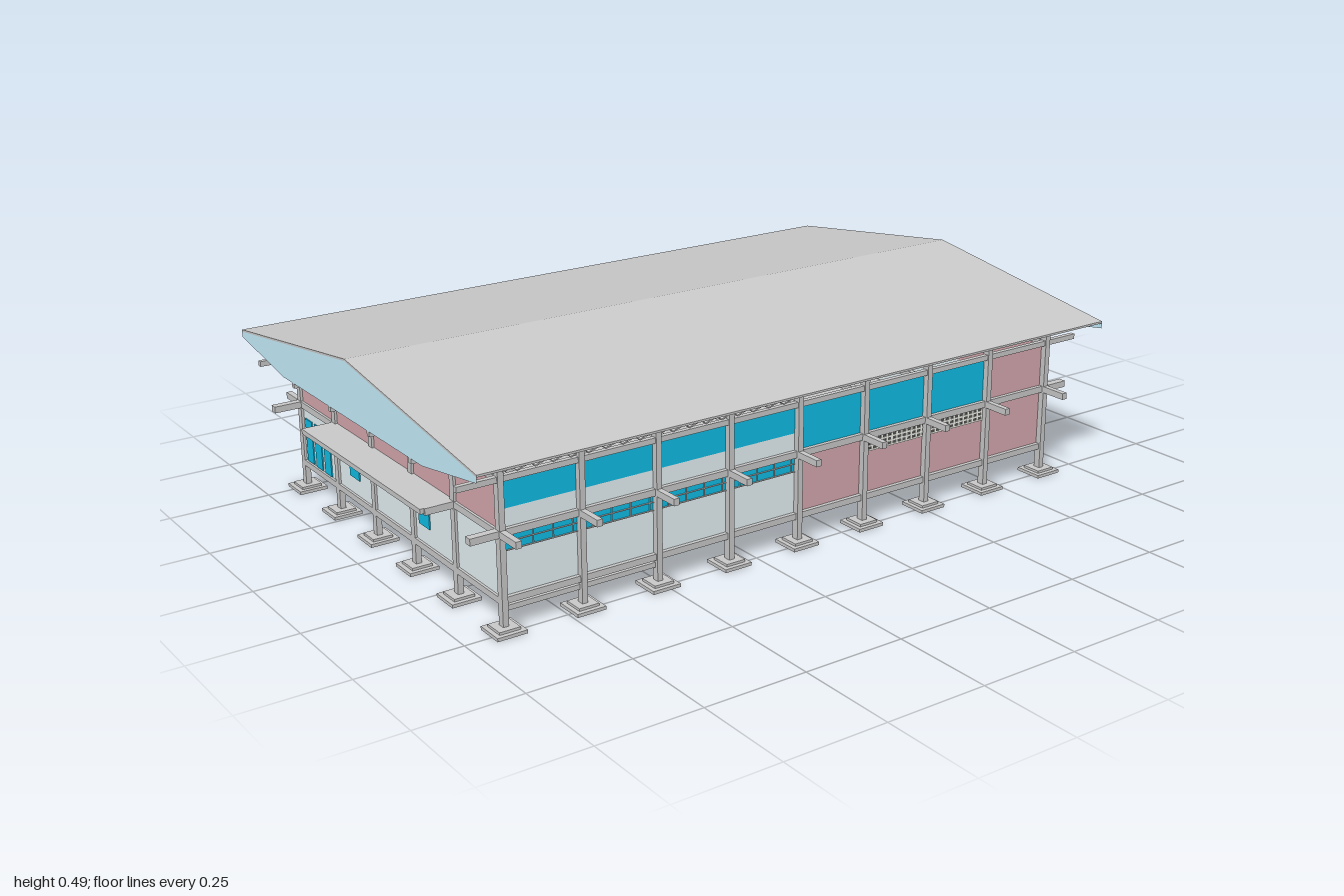
import * as THREE from 'three';

const material = (color, side = THREE.FrontSide) =>
  new THREE.MeshStandardMaterial({ color, side, flatShading: true });
const grey = material(0xcccccc);
const pale = material(0xe8f4f7);
const pink = material(0xd7aab0);
const blue = material(0x10bfe8);
const tan = material(0xdab59f);
const cream = material(0xf8f8f0);

export function createModel() {
  const model = new THREE.Group();

  // Box given by its limits on each axis
  const box = (name, mat, x0, x1, y0, y1, z0, z1, parent = model) => {
    const mesh = new THREE.Mesh(new THREE.BoxGeometry(x1 - x0, y1 - y0, z1 - z0), mat);
    mesh.position.set((x0 + x1) / 2, (y0 + y1) / 2, (z0 + z1) / 2);
    mesh.name = name;
    parent.add(mesh);
    return mesh;
  };
  const group = (name) => {
    const g = new THREE.Group();
    g.name = name;
    model.add(g);
    return g;
  };

  const xs = Array.from({ length: 9 }, (_, i) => -0.9 + i * 0.1938);
  const zs = Array.from({ length: 6 }, (_, i) => 0.49 - i * 0.196);

  // Columns on pad footings
  const frame = group('columnsAndFootings');
  const footing = (x, z, r = 0.036) => {
    box('footing', grey, x - r, x + r, 0, 0.008, z - r, z + r, frame);
    box('footingTop', grey, x - r * 0.7, x + r * 0.7, 0.008, 0.014, z - r * 0.7, z + r * 0.7, frame);
  };
  const column = (x, z, top) => {
    footing(x, z);
    box('column', grey, x - 0.007, x + 0.007, 0.01, top, z - 0.009, z + 0.009, frame);
  };
  xs.forEach((x, i) => zs.forEach((z, j) => {
    const edgeZ = j === 0 || j === 5;
    if (edgeZ || i === 0 || i === 8) column(x, z, edgeZ ? 0.366 : 0.35);
    else if (j === 4) {
      footing(x, z);
      box('stub', grey, x - 0.007, x + 0.007, 0.01, 0.07, z - 0.009, z + 0.009, frame);
    }
  }));

  // Floor slab and beams
  const beams = group('beams');
  box('floorSlab', grey, -0.9, 0.65, 0.063, 0.076, -0.49, 0.49);
  box('gradeBeam', grey, -0.9, -0.515, 0.045, 0.057, 0.48, 0.49, beams);
  box('gradeBeam', grey, -0.9, -0.13, 0.045, 0.063, -0.298, -0.286, beams);
  for (const x of [xs[1], xs[3]])
    box('gradeBeam', grey, x - 0.006, x + 0.006, 0.045, 0.063, -0.49, -0.29, beams);
  for (const s of [-1, 1]) {
    box('plinthBeam', grey, -0.9, 0.65, 0.063, 0.078, s * 0.486 - 0.008, s * 0.486 + 0.008, beams);
    box('floorBeam', grey, -0.975, 0.72, 0.215, 0.231, s * 0.486 - 0.008, s * 0.486 + 0.008, beams);
  }
  for (const x of [xs[0], xs[8]]) {
    box('plinthBeam', grey, x - 0.007, x + 0.007, 0.063, 0.078, -0.49, 0.49, beams);
    box('topBeam', grey, x - 0.007, x + 0.007, 0.336, 0.35, -0.49, 0.49, beams);
  }
  for (const x of xs)
    box('cantileverBeam', grey, x - 0.007, x + 0.007, 0.215, 0.231, -0.565, 0.565, beams);
  for (const z of zs) {
    box('eavesBeam', grey, -1, 0.745, 0.337, 0.35, z - 0.006, z + 0.006, beams);
    for (const [a, b] of [[-0.975, -0.9], [0.65, 0.72]])
      box('cantileverBeam', grey, a, b, 0.215, 0.231, z - 0.007, z + 0.007, beams);
  }
  box('leftCanopy', grey, 0.65, 0.735, 0.219, 0.231, -0.1, 0.298);
  box('rightCanopy', grey, -0.985, -0.9, 0.219, 0.231, -0.3, 0.298);

  // Wall bands: [material, x0, x1, y0, y1]
  const frontBands = [
    [pale, -0.9, -0.125, 0.078, 0.178], [blue, -0.9, -0.125, 0.178, 0.215],
    [pale, -0.9, -0.125, 0.231, 0.272], [blue, -0.9, -0.125, 0.272, 0.337],
    [pink, -0.125, 0.65, 0.078, 0.215], [blue, -0.125, 0.455, 0.231, 0.337],
    [pink, 0.455, 0.65, 0.231, 0.337],
  ];
  const backBands = [
    [pale, -0.9, 0.65, 0.078, 0.215], [pale, -0.9, -0.125, 0.231, 0.272],
    [blue, -0.9, -0.125, 0.272, 0.337], [blue, -0.125, 0.455, 0.231, 0.337],
    [pink, 0.455, 0.65, 0.231, 0.337],
  ];
  const walls = group('walls');
  for (const [m, a, b, c, d] of frontBands) box('frontWall', m, a, b, c, d, 0.476, 0.484, walls);
  for (const [m, a, b, c, d] of backBands) box('backWall', m, a, b, c, d, -0.484, -0.476, walls);
  for (const x of [-0.897, 0.647]) {
    box('endWallLower', pale, x - 0.004, x + 0.004, 0.078, 0.219, -0.48, 0.48, walls);
    box('endWallUpper', pink, x - 0.004, x + 0.004, 0.219, 0.337, -0.48, 0.48, walls);
  }
  box('centrePanel', cream, 0.65, 0.653, 0.078, 0.215, -0.09, 0.09, walls);

  // Window bars on the front strip
  const bars = group('windowBars');
  for (const y of [0.178, 0.197])
    box('bar', grey, -0.9, -0.125, y, y + 0.002, 0.484, 0.487, bars);
  for (let x = -0.87; x < -0.13; x += 0.0485)
    box('bar', grey, x, x + 0.002, 0.178, 0.215, 0.484, 0.487, bars);

  // Ventilation lattices
  const lattice = group('lattice');
  for (const z of [0.485, -0.485]) {
    for (let i = 0; i < 4; i++)
      box('latticeRail', cream, 0.08, 0.45, 0.18 + i * 0.0107, 0.184 + i * 0.0107, z - 0.002, z + 0.002, lattice);
    for (let i = 0; i < 25; i++)
      box('latticePost', cream, 0.08 + i * 0.0152, 0.085 + i * 0.0152, 0.18, 0.216, z - 0.002, z + 0.002, lattice);
    box('latticeVoid', material(0x555555), 0.08, 0.45, 0.18, 0.215, z - 0.0006, z + 0.0006, lattice);
  }

  // Doors and windows on the back and the two ends
  const openings = group('doorsAndWindows');
  const backOpening = (name, m, a, b, c, d) => box(name, m, a, b, c, d, -0.487, -0.483, openings);
  backOpening('backDoor', tan, -0.11, -0.04, 0.08, 0.16);
  backOpening('backWindow', blue, -0.28, -0.16, 0.165, 0.205);
  backOpening('tallWindow', blue, -0.58, -0.55, 0.08, 0.19);
  backOpening('tallWindow', blue, -0.77, -0.745, 0.08, 0.19);
  backOpening('tallWindow', blue, -0.88, -0.84, 0.08, 0.19);
  for (const z of [-0.45, -0.4, -0.35])
    box('endDoor', blue, -0.904, -0.9, 0.08, 0.19, z - 0.018, z + 0.018, openings);
  for (const z of [-0.2, 0.15])
    box('endWindow', blue, -0.904, -0.9, 0.12, 0.19, z - 0.025, z + 0.025, openings);
  box('endDoor', tan, 0.65, 0.654, 0.08, 0.16, 0.108, 0.15, openings);

  // Side annex: floor, walls, columns, flat roof
  const annex = group('annex');
  box('annexFloor', grey, 0.65, 0.92, 0.063, 0.076, -0.49, -0.098, annex);
  for (const z of [-0.104, -0.484]) {
    box('annexWall', pale, 0.65, 0.92, 0.076, 0.156, z - 0.004, z + 0.004, annex);
    box('annexWindow', blue, 0.65, 0.92, 0.156, 0.2, z - 0.004, z + 0.004, annex);
    box('annexBeam', grey, 0.65, 0.985, 0.2, 0.219, z - 0.007, z + 0.007, annex);
  }
  box('annexEndWall', pale, 0.912, 0.92, 0.076, 0.219, -0.484, -0.104, annex);
  for (const z of [-0.125, -0.315])
    box('annexDoor', tan, 0.92, 0.923, 0.08, 0.16, z - 0.021, z + 0.021, annex);
  for (const z of zs.slice(3)) column(0.92, z, 0.22);
  for (const z of [zs[3], zs[5]]) column(0.803, z, 0.22);
  box('annexRoof', grey, 0.65, 1, 0.219, 0.233, -0.565, -0.02, annex);

  // Pitched roof sheets
  const roof = group('roof');
  const sheet = new THREE.Shape([[-0.585, 0.405], [0, 0.487], [0.585, 0.405], [0.585, 0.4],
    [0, 0.482], [-0.585, 0.4]].map(([z, y]) => new THREE.Vector2(z, y)));
  const sheetMesh = new THREE.Mesh(
    new THREE.ExtrudeGeometry(sheet, { depth: 1.745, bevelEnabled: false }), grey);
  sheetMesh.rotation.y = Math.PI / 2;
  sheetMesh.position.x = -1;
  sheetMesh.name = 'roofSheet';
  roof.add(sheetMesh);

  // Gable panels at both ends
  const gable = new THREE.Shape([[-0.585, 0.405], [-0.585, 0.387], [-0.35, 0.349], [0.35, 0.349],
    [0.585, 0.387], [0.585, 0.405], [0, 0.487]].map(([z, y]) => new THREE.Vector2(z, y)));
  const gableMaterial = material(0xc8f0ff, THREE.DoubleSide);
  for (const x of [-1.0, 0.745]) {
    const panel = new THREE.Mesh(new THREE.ShapeGeometry(gable), gableMaterial);
    panel.rotation.y = Math.PI / 2;
    panel.position.x = x;
    panel.name = 'gablePanel';
    roof.add(panel);
  }

  // Purlins under the sheets
  for (const s of [-1, 1]) for (let i = 0; i < 6; i++) {
    const z = s * (0.06 + i * 0.095), y = 0.482 - Math.abs(z) * 0.14;
    box('purlin', grey, -0.99, 0.735, y - 0.006, y, z - 0.003, z + 0.003, roof);
  }

  // Slanted louvres above the front and back windows
  const louvres = group('louvres');
  for (const z of [-0.48, 0.48]) for (let i = 0; i < 18; i++) {
    const x = -0.88 + i * 0.043;
    box('louvre', grey, x - 0.02, x + 0.02, 0.356, 0.359, z - 0.01, z + 0.01, louvres).rotation.z = 0.3;
  }

  return model;
}
